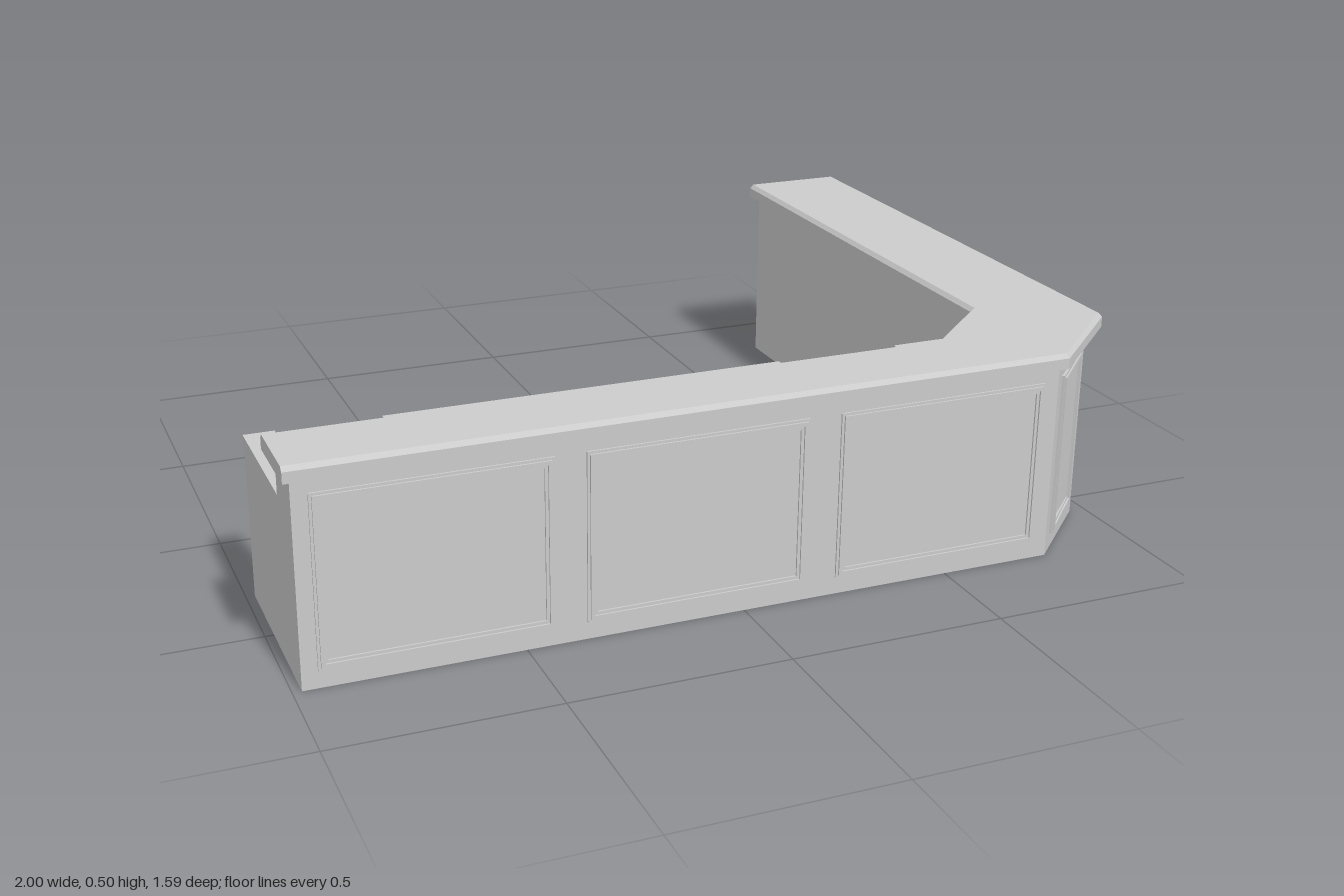
import * as THREE from 'three';

const material = new THREE.MeshStandardMaterial({ color: 0xcccccc, side: THREE.DoubleSide, flatShading: true });

// Joins [height, plan outline] rings with flat walls; plan points are [x, z].
function loft(name, rings, capped) {
  const pos = [];
  const push = (p, y) => pos.push(p[0], y, p[1]);
  for (let r = 0; r + 1 < rings.length; r++) {
    const [y0, lo] = rings[r], [y1, hi] = rings[r + 1];
    lo.forEach((a, i) => {
      const j = (i + 1) % lo.length;
      push(a, y0); push(lo[j], y0); push(hi[j], y1);
      push(a, y0); push(hi[j], y1); push(hi[i], y1);
    });
  }
  if (capped) {
    const cap = ([y, outline], up) => {
      const pts = outline.map(([x, z]) => new THREE.Vector2(x, -z));
      for (const t of THREE.ShapeUtils.triangulateShape(pts, [])) {
        for (const k of up ? t : [t[0], t[2], t[1]]) push(outline[k], y);
      }
    };
    cap(rings[0], false);
    cap(rings[rings.length - 1], true);
  }
  const g = new THREE.BufferGeometry();
  g.setAttribute('position', new THREE.Float32BufferAttribute(pos, 3));
  g.computeVertexNormals();
  const mesh = new THREE.Mesh(g, material);
  mesh.name = name;
  return mesh;
}

// Hollow cabinet, open below
const shell = (name, outline, height) => loft(name, [[0, outline], [height, outline]], false);

// Slab whose top edge is bevelled by the inset of its outline
const slab = (name, outline, y0, y1) =>
  loft(name, [[y0, outline(0)], [y1 - 0.01, outline(0)], [y1, outline(0.009)]], true);

// Rectangular picture-frame strip
function frame(w, h, strip, depth) {
  const rect = (P, a, b) => {
    const p = new P();
    p.moveTo(-a, -b); p.lineTo(a, -b); p.lineTo(a, b); p.lineTo(-a, b); p.closePath();
    return p;
  };
  const s = rect(THREE.Shape, w / 2, h / 2);
  s.holes.push(rect(THREE.Path, w / 2 - strip, h / 2 - strip));
  const g = new THREE.ExtrudeGeometry(s, { depth: depth + 0.006, bevelEnabled: false });
  g.translate(0, 0, -0.006);
  return new THREE.Mesh(g, material);
}

// Stepped moulding around one panel
function panel(name, w, x, z, angle) {
  const group = new THREE.Group();
  group.name = name;
  const h = 0.39;
  const rail = frame(w, h, 0.022, 0.004);
  rail.name = 'mouldingRail';
  const ridge = frame(w - 0.012, h - 0.012, 0.009, 0.008);
  ridge.name = 'mouldingRidge';
  group.add(rail, ridge);
  group.position.set(x, 0.235, z);
  group.rotation.y = angle;
  return group;
}

export function createModel() {
  const model = new THREE.Group();
  model.name = 'cornerBarCounter';

  // L-shaped front wall with a chamfered corner
  model.add(shell('barBody', [
    [-0.98, 0.76], [0.765, 0.76], [0.96, 0.57], [0.96, -0.795],
    [0.76, -0.795], [0.76, 0.445], [0.552, 0.633], [-0.98, 0.633],
  ], 0.472));

  // Raised bar top
  model.add(slab('barTop', (o) => [
    [-1, 0.795 - o], [0.765 - 0.4 * o, 0.795 - o], [1 - o, 0.575 - 0.4 * o], [1 - o, -0.795],
    [0.73 + o, -0.795], [0.73 + o, 0.43 + 0.4 * o], [0.54 + 0.4 * o, 0.603 + o], [-1, 0.603 + o],
  ], 0.47, 0.505));

  // Lower work counter with two cut-outs
  model.add(slab('workCounter', (o) => [
    [-0.98, 0.635], [0.553, 0.635], [0.762, 0.445], [0.762, 0.28 + o],
    [0.61, 0.28 + o], [0.61, 0.56], [0.3, 0.56], [0.3, 0.28 + o],
    [-0.67, 0.28 + o], [-0.67, 0.56], [-0.91, 0.56], [-0.91, 0.28 + o], [-0.98, 0.28 + o],
  ], 0.345, 0.38));

  // Cabinets carrying the work counter
  const box = (x0, x1, z0) => [[x0, 0.633], [x1, 0.633], [x1, z0], [x0, z0]];
  model.add(shell('centreCabinet', box(-0.33, 0.3, 0.31), 0.346));
  model.add(shell('endSupport', box(-0.98, -0.91, 0.3), 0.346));
  model.add(shell('cornerCabinet', [[0.61, 0.58], [0.76, 0.445], [0.76, 0.3], [0.61, 0.3]], 0.346));

  // Panel mouldings on the three outer faces
  [-0.69, -0.11, 0.475].forEach((x) => model.add(panel('frontPanel', 0.51, x, 0.76, 0)));
  [0.223, -0.457].forEach((z) => model.add(panel('sidePanel', 0.61, 0.96, z, Math.PI / 2)));
  model.add(panel('cornerPanel', 0.2, 0.8625, 0.665, Math.atan2(0.195, 0.19)));

  return model;
}
